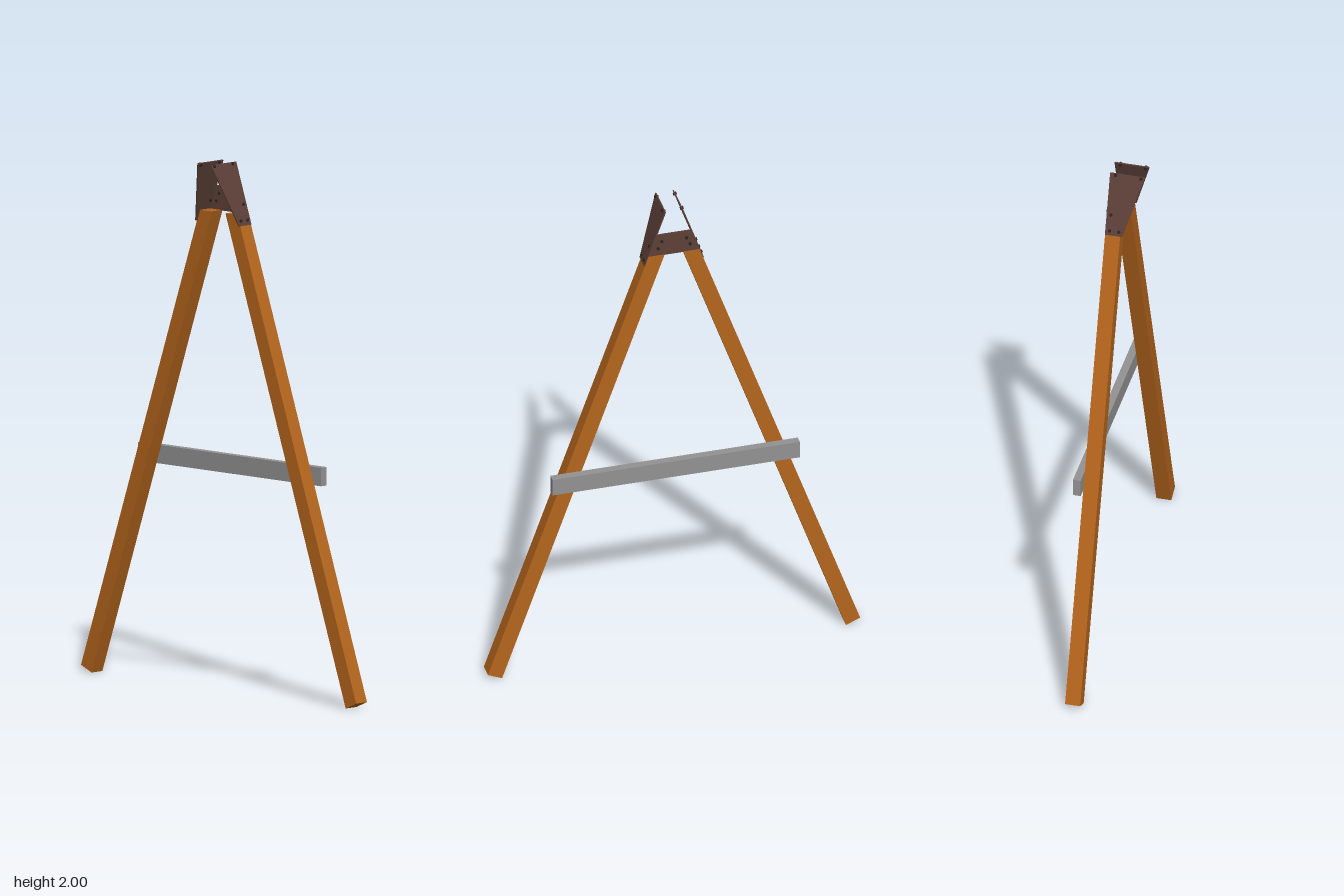
import * as THREE from 'three';

const wood = new THREE.MeshStandardMaterial({ color: 0xb5651d });
wood.name = 'wood';
const bracket = new THREE.MeshStandardMaterial({ color: 0x5d4037 });
bracket.name = 'bracketBrown';
const grey = new THREE.MeshStandardMaterial({ color: 0x929292 });
grey.name = 'barGrey';
const dark = new THREE.MeshStandardMaterial({ color: 0x2b2522 });
dark.name = 'boltDark';

// Flat plate from a list of corners, extruded towards +z
function plate(name, points, depth, material) {
  const shape = new THREE.Shape(points.map(([x, y]) => new THREE.Vector2(x, y)));
  const geometry = new THREE.ExtrudeGeometry(shape, { depth, bevelEnabled: false });
  const mesh = new THREE.Mesh(geometry, material);
  mesh.name = name;
  return mesh;
}

// Small bolt with its axis along z
function bolt(x, y, z, length = 0.014) {
  const geometry = new THREE.CylinderGeometry(0.006, 0.006, length, 8).rotateX(Math.PI / 2);
  const mesh = new THREE.Mesh(geometry, dark);
  mesh.name = 'bolt';
  mesh.position.set(x, y, z);
  return mesh;
}

// One leg with its slanted side plate, on the +x side
function createSide() {
  const side = new THREE.Group();

  // Leg: square cut at the foot, level cut at the top
  const leg = plate('leg', [[0.667, 0], [0.722, 0.024], [0.099, 1.808], [0.036, 1.808]], 0.058, wood);
  leg.position.z = -0.052;
  side.add(leg);

  // Side plate lies along the outer face of the leg and flares forward at the top
  const sidePlate = new THREE.Group();
  sidePlate.name = 'sidePlate';
  const forward = new THREE.Vector3(0, 0, 1);
  const up = new THREE.Vector3(-0.348, 1, 0).normalize();
  const inward = new THREE.Vector3().crossVectors(forward, up);
  sidePlate.applyMatrix4(new THREE.Matrix4().makeBasis(forward, up, inward).setPosition(0.116, 1.768, 0));
  sidePlate.add(plate('sidePanel', [[-0.052, 0], [0.013, 0], [0.083, 0.244], [-0.052, 0.244]], 0.005, bracket));
  for (const [z, s] of [[-0.035, 0.018], [0, 0.018], [-0.035, 0.08], [-0.03, 0.237], [0.068, 0.237]]) {
    sidePlate.add(bolt(z, s, 0.0025));
  }
  side.add(sidePlate);

  // Bolts on the back of the joining plate
  side.add(bolt(0.062, 1.84, -0.051), bolt(0.048, 1.87, -0.051));
  return side;
}

export function createModel() {
  const model = new THREE.Group();
  model.name = 'aFrameSupport';

  const leftSide = createSide();
  leftSide.name = 'leftSide';
  const rightSide = createSide();
  rightSide.name = 'rightSide';
  rightSide.scale.x = -1;
  model.add(leftSide, rightSide);

  // Plate joining the two side plates at the back
  const joiner = plate('joiningPlate', [[-0.1, 1.806], [0.1, 1.806], [0.067, 1.9], [-0.067, 1.9]], 0.005, bracket);
  joiner.position.z = -0.052;
  model.add(joiner);

  // Crossbar fixed behind the legs
  const bar = new THREE.Mesh(new THREE.BoxGeometry(0.96, 0.07, 0.03), grey);
  bar.name = 'crossbar';
  bar.position.set(0, 0.85, -0.068);
  model.add(bar);

  return model;
}
